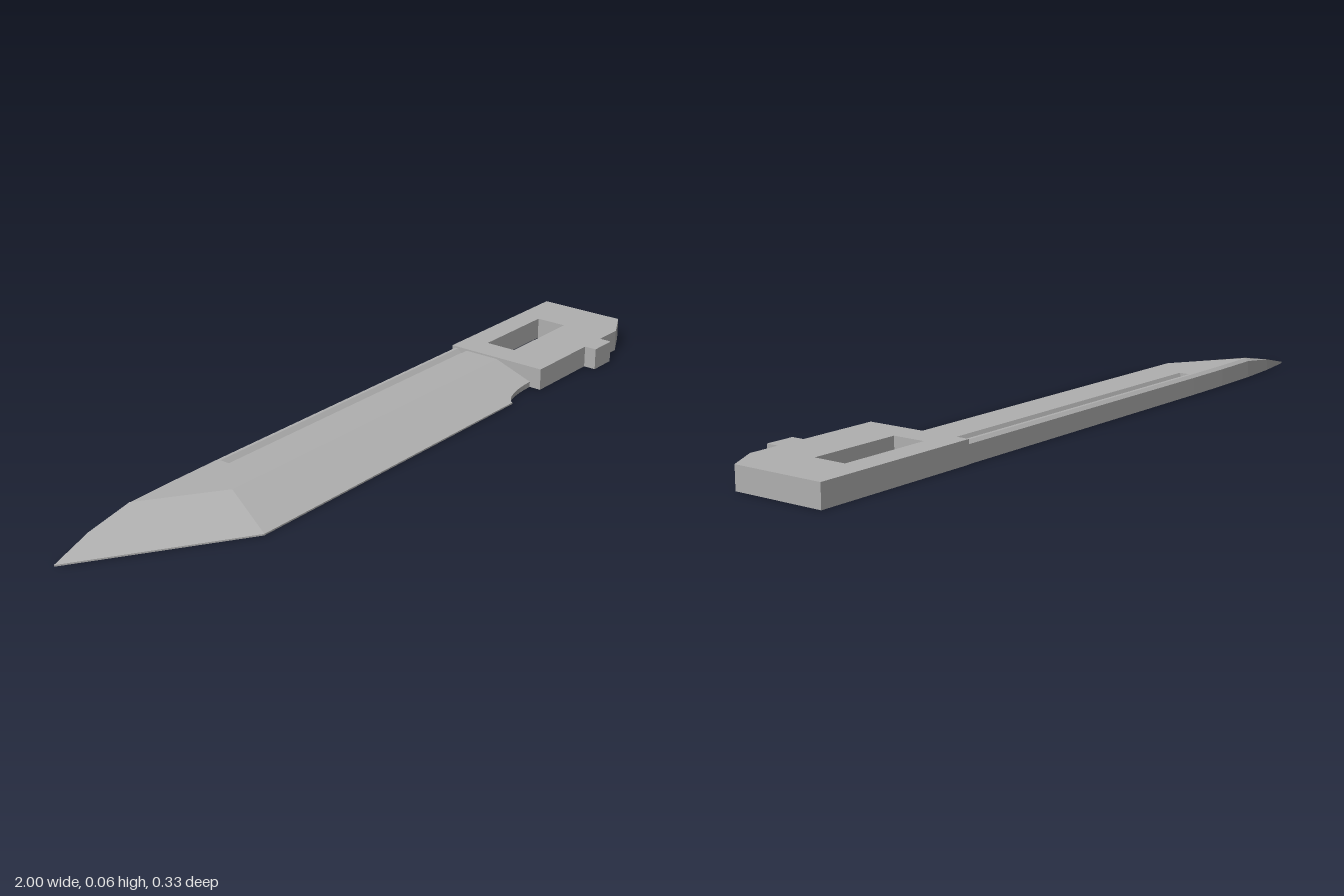
import * as THREE from 'three';

const TOP = 0.055;    // height of the blade's flat
const EDGE = 0.004;   // thickness of the sharpened edge
const END = 0.52;     // where the blade meets the handle

// Height rules of the ground faces
const flatY = () => TOP;
const bevelY = (x, z) => EDGE + (0.13 - z) * 0.352;
const tipY = (x, z) => EDGE + ((x + 1) * 0.545 - (z + 0.13) * 0.838) * 0.34;

// Planar outline in x/z
function outline(points) {
  return new THREE.Shape(points.map(([x, z]) => new THREE.Vector2(x, -z)));
}

// Upward face filled from an outline and lifted by a height rule
function panel(points, rule) {
  const g = new THREE.ShapeGeometry(outline(points)).rotateX(-Math.PI / 2);
  const p = g.attributes.position;
  for (let i = 0; i < p.count; i++) p.setY(i, rule(p.getX(i), p.getZ(i)));
  g.computeVertexNormals();
  return g;
}

// Faceted strip between two paths of 3D points
function strip(a, b) {
  const v = [];
  for (let i = 0; i < a.length - 1; i++) {
    v.push(...a[i], ...b[i], ...a[i + 1], ...b[i], ...b[i + 1], ...a[i + 1]);
  }
  const g = new THREE.BufferGeometry();
  g.setAttribute('position', new THREE.Float32BufferAttribute(v, 3));
  g.computeVertexNormals();
  return g;
}

export function createModel() {
  const model = new THREE.Group();
  model.name = 'bladeWithHandle';
  const steel = new THREE.MeshStandardMaterial({ color: 0xb0b0b0, side: THREE.DoubleSide });
  steel.name = 'steel grey';
  const blade = new THREE.Group();
  blade.name = 'blade';
  model.add(blade);
  const add = (name, geometry, parent = blade) => {
    const mesh = new THREE.Mesh(geometry, steel);
    mesh.name = name;
    parent.add(mesh);
  };

  // Main plan curves
  const tip = [-1, -0.13], heel = [-0.6, 0.13], ridge = [-0.55, -0.015];
  const spine = [[-0.88, -0.148], [-0.75, -0.159], [-0.6, -0.164], [-0.45, -0.166], [END, -0.166]];
  const spineTop = spine.map(([x, z], i) => (i ? [x, z + 0.009] : [x, z]));
  const notch = [];
  for (let i = 0; i <= 8; i++) {
    const a = (i / 8) * Math.PI / 2;
    notch.push([END - 0.13 * Math.sin(a), 0.13 - 0.032 * Math.cos(a)]);
  }

  // Groove cross-section as [z, y]
  const groove = [[-0.148, TOP], [-0.137, 0.044], [-0.123, 0.044], [-0.118, TOP]];
  const gx = -0.45;

  // Upper faces
  add('flat', panel([
    ridge, [END, -0.015], [END, -0.118], [gx, -0.118], [gx, -0.148], [END, -0.148],
    ...spineTop.slice(1).reverse(),
  ], flatY));
  add('edgeBevel', panel([heel, ridge, [END, -0.015], ...notch], bevelY));
  add('tipBevel', panel([tip, heel, ridge, spineTop[1], spineTop[0]], tipY));

  // Softened spine corner
  const low = ([x, z], i) => [x, i ? TOP - 0.008 : tipY(x, z), z];
  const high = ([x, z], i) => [x, i ? TOP : tipY(x, z), z];
  add('spineCorner', strip(spine.map(low), spineTop.map(high)));

  // Groove faces along the spine and its closed end
  for (let i = 0; i < 3; i++) {
    const line = ([z, y]) => [[gx, y, z], [END, y, z]];
    add('grooveFace', strip(line(groove[i]), line(groove[i + 1])));
  }
  const at = ([z, y]) => [gx, y, z];
  add('grooveEnd', strip([at(groove[1]), at(groove[2])], [at(groove[0]), at(groove[3])]));

  // Side walls and underside
  const rim = [
    [tip[0], EDGE, tip[1]],
    ...spine.map(low),
    ...notch.map(([x, z]) => [x, bevelY(x, z), z]),
    [heel[0], EDGE, heel[1]],
    [tip[0], EDGE, tip[1]],
  ];
  add('sideWall', strip(rim.map(([x, , z]) => [x, 0, z]), rim));
  const under = new THREE.ShapeGeometry(
    new THREE.Shape(rim.slice(0, -1).map(([x, , z]) => new THREE.Vector2(x, z))));
  add('underside', under.rotateX(Math.PI / 2));

  // Handle block with clipped corner, small tab and rectangular slot
  const shape = outline([
    [END, -0.168], [1, -0.168], [1, 0.085], [0.91, 0.132], [0.825, 0.132],
    [0.825, 0.167], [0.745, 0.167], [0.745, 0.132], [END, 0.132],
  ]);
  shape.holes.push(outline([[0.597, -0.1], [0.597, -0.01], [0.855, -0.01], [0.855, -0.1]]));
  const block = new THREE.ExtrudeGeometry(shape, { depth: 0.06, bevelEnabled: false });
  add('handle', block.rotateX(-Math.PI / 2), model);

  return model;
}
